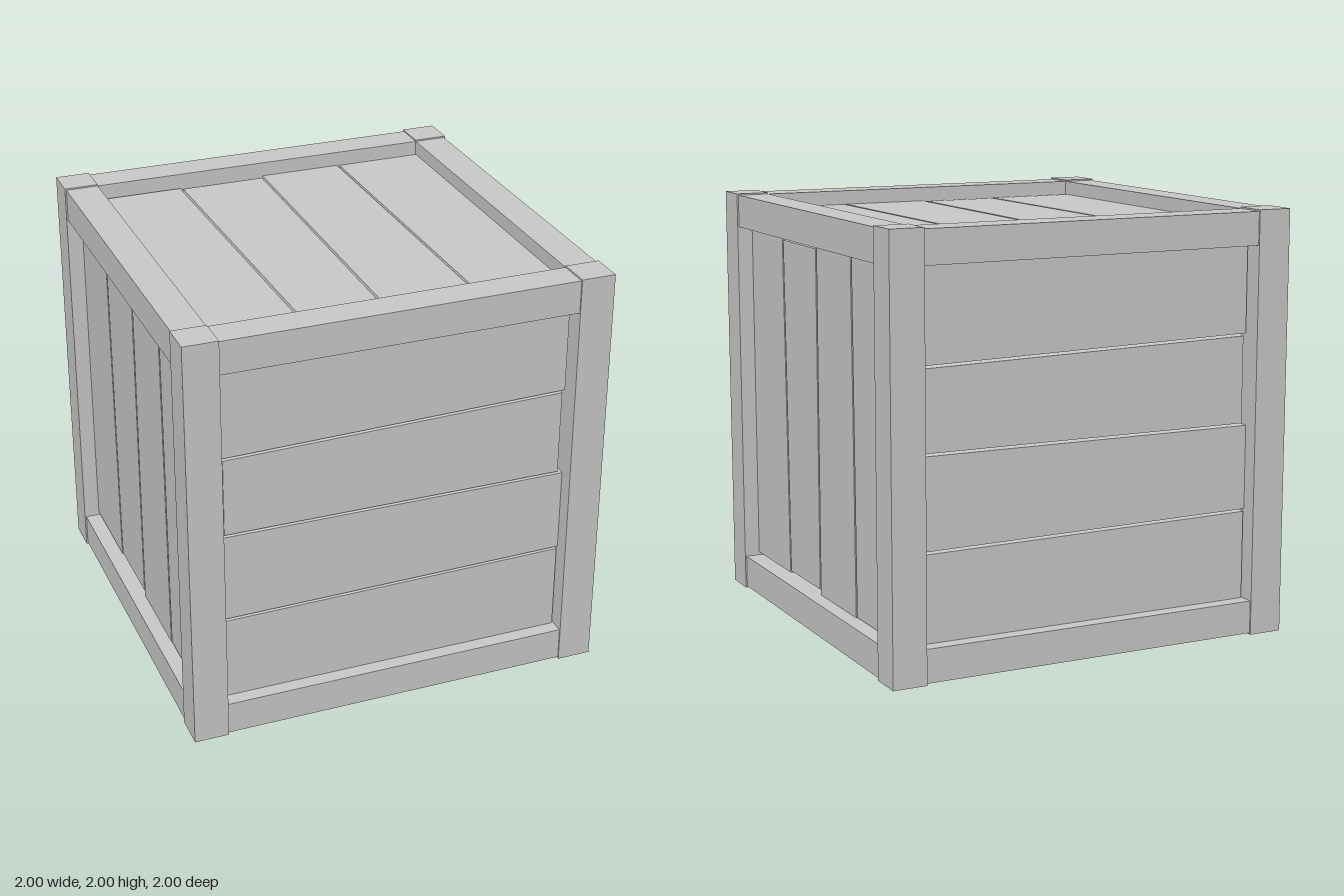
import * as THREE from 'three';

const HALF = 1;        // half the crate size
const BEAM = 0.163;    // post thickness
const INNER = HALF - BEAM;
const STEP = 0.007;    // rails sit slightly behind the posts
const FACE = 0.925;    // outer face of the planks
const BACK = 0.85;     // inner face of the planks

const material = new THREE.MeshStandardMaterial({ color: 0xcccccc, flatShading: true });

function box(name, size, position) {
  const mesh = new THREE.Mesh(new THREE.BoxGeometry(...size), material);
  mesh.name = name;
  mesh.position.set(...position);
  return mesh;
}

// Seams between planks: position at the lower and the upper end
const seams = [
  [-INNER, -INNER],
  [-0.392, -0.42],
  [-0.008, 0.002],
  [0.428, 0.412],
  [INNER, INNER],
];
// How far each plank's ends slope inward: lower, upper
const endSlopes = [[0.015, 0.013], [0.026, 0.026], [0.002, 0.002], [0.007, 0.007]];

// A crooked plank: a box whose corners follow the two seams, narrowing outward
function plankGeometry(i) {
  const geometry = new THREE.BoxGeometry(2, 2, 2);
  const p = geometry.attributes.position;
  for (let v = 0; v < p.count; v++) {
    const right = p.getX(v) > 0, top = p.getY(v) > 0, outer = p.getZ(v) > 0;
    const atEdge = right ? i === 3 : i === 0;
    const sideInset = outer && !atEdge ? 0.006 : 0;
    const endInset = outer ? endSlopes[i][top ? 1 : 0] : 0;
    const x = seams[right ? i + 1 : i][top ? 1 : 0] + (right ? -sideInset : sideInset);
    const y = (top ? 1 : -1) * (INNER - endInset);
    p.setXYZ(v, x, y, outer ? FACE : BACK);
  }
  geometry.computeVertexNormals();
  return geometry;
}

export function createModel() {
  const crate = new THREE.Group();
  crate.name = 'crate';
  const body = new THREE.Group();
  body.name = 'body';
  body.position.y = HALF;
  crate.add(body);

  // Corner posts
  const postMid = HALF - BEAM / 2;
  for (const x of [-1, 1]) for (const z of [-1, 1]) {
    body.add(box('cornerPost', [BEAM, 2 * HALF, BEAM], [x * postMid, 0, z * postMid]));
  }

  // Horizontal rails, top and bottom
  const rail = BEAM - STEP;
  const railMid = INNER + rail / 2;
  for (const y of [-1, 1]) for (const s of [-1, 1]) {
    body.add(box('crossRail', [2 * INNER, rail, rail], [0, y * railMid, s * railMid]));
    body.add(box('sideRail', [rail, rail, 2 * INNER], [s * railMid, y * railMid, 0]));
  }

  // Six plank panels, the same set of planks turned to each side
  const planks = [0, 1, 2, 3].map(plankGeometry);
  const q = Math.PI / 2;
  const sides = {
    frontPanel: [0, 0, -q],
    backPanel: [0, 2 * q, -q],
    rightPanel: [0, q, 0],
    leftPanel: [0, -q, 0],
    topPanel: [-q, 0, 0],
    bottomPanel: [-q, 0, 2 * q],
  };
  for (const [name, [rx, ry, rz]] of Object.entries(sides)) {
    const panel = new THREE.Group();
    panel.name = name;
    // The bottom is the top panel rolled half a turn about z
    panel.rotation.set(rx, ry, rz, name === 'bottomPanel' ? 'ZYX' : 'XYZ');
    planks.forEach((geometry) => {
      const plank = new THREE.Mesh(geometry, material);
      plank.name = 'plank';
      panel.add(plank);
    });
    body.add(panel);
  }

  return crate;
}
